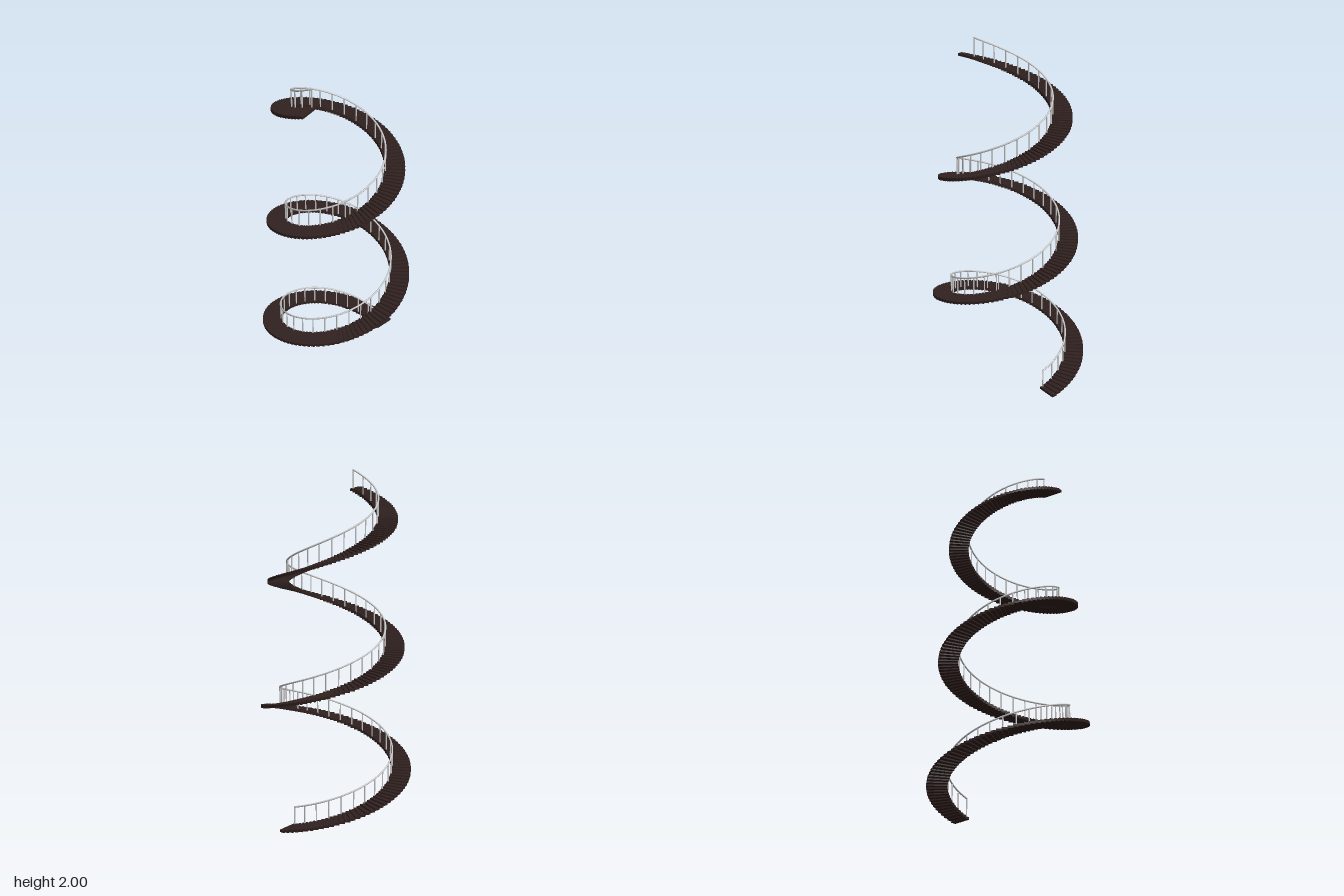
import * as THREE from 'three';
import { mergeGeometries } from 'three/addons/utils/BufferGeometryUtils.js';

const END = 15.93;          // total turn in radians
const RISE = 0.1176;        // climb per radian
const CX = -0.013, CZ = 0.012;
const STEP_WIDTH = 0.116, STEP_DEPTH = 0.031, STEP_THICK = 0.014;
const RAIL_R = 0.005, RAIL_Y = 0.122;

const outerRadius = (a) => 0.468 - 0.0075 * a; // the spiral narrows as it climbs

// Point on the spiral, a given distance in from the outer edge
const spiral = (a, inset, lift) => {
  const r = outerRadius(a) - inset;
  return new THREE.Vector3(CX + r * Math.cos(a), a * RISE + lift, CZ - r * Math.sin(a));
};

class RailCurve extends THREE.Curve {
  getPoint(t, target = new THREE.Vector3()) {
    return target.copy(spiral(t * END, 0.11, RAIL_Y));
  }
}

export function createModel() {
  const group = new THREE.Group();
  const wood = new THREE.MeshStandardMaterial({ color: 0x30211f });
  const metal = new THREE.MeshStandardMaterial({ color: 0xcccccc });
  const add = (name, geometry, material) => {
    const mesh = new THREE.Mesh(geometry, material);
    mesh.name = name;
    group.add(mesh);
  };

  // Treads: overlapping slabs fanned around the spiral
  const treads = [];
  const count = 244;
  for (let i = 0; i < count; i++) {
    const a = (i / (count - 1)) * END;
    const p = spiral(a, STEP_WIDTH / 2, STEP_THICK / 2);
    treads.push(new THREE.BoxGeometry(STEP_WIDTH, STEP_THICK, STEP_DEPTH)
      .rotateY(a).translate(p.x, p.y, p.z));
  }
  add('treads', mergeGeometries(treads), wood);

  // Handrail along the inner edge, with rounded ends
  const curve = new RailCurve();
  curve.arcLengthDivisions = 1000;
  const rail = [new THREE.TubeGeometry(curve, 480, RAIL_R, 8, false)];
  for (const t of [0, 1]) {
    const p = curve.getPoint(t);
    rail.push(new THREE.SphereGeometry(RAIL_R, 8, 6).translate(p.x, p.y, p.z));
  }
  add('handrail', mergeGeometries(rail), metal);

  // Balusters, evenly spaced along the rail
  const balusters = [];
  const height = RAIL_Y - STEP_THICK / 2;
  const posts = 68;
  for (let i = 0; i <= posts; i++) {
    const p = curve.getPointAt(i / posts);
    balusters.push(new THREE.CylinderGeometry(0.004, 0.004, height, 8)
      .translate(p.x, p.y - height / 2, p.z));
  }
  add('balusters', mergeGeometries(balusters), metal);

  return group;
}
